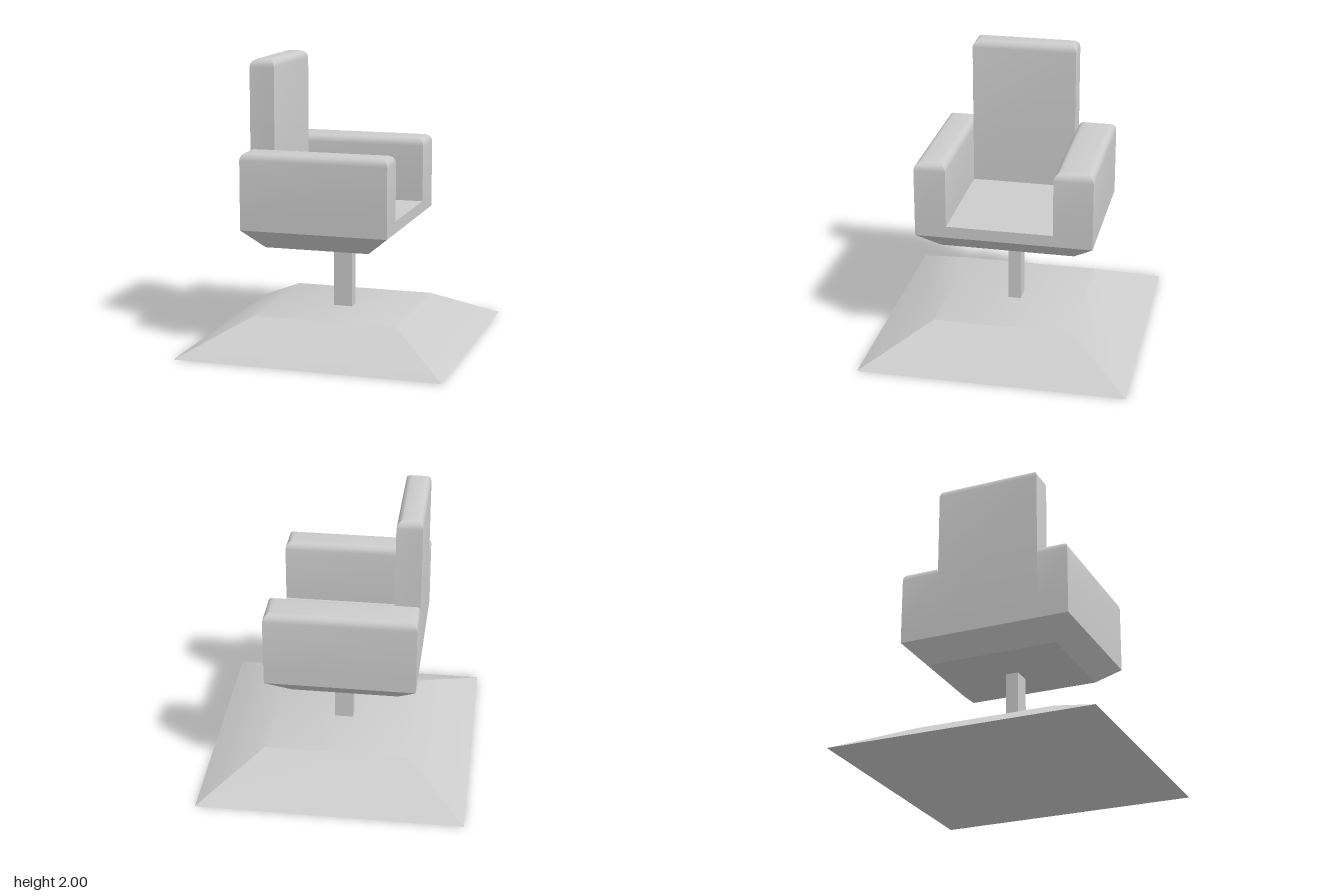
import * as THREE from 'three';
import { toCreasedNormals } from 'three/addons/utils/BufferGeometryUtils.js';

const material = new THREE.MeshStandardMaterial({ color: 0xcccccc });

// Closed solid lofted through horizontal rectangles [y, x0, x1, z0, z1], bottom to top
function loft(name, rects, capBottom = true) {
  const pos = [];
  const idx = [];
  for (const [y, x0, x1, z0, z1] of rects) {
    pos.push(x0, y, z1, x1, y, z1, x1, y, z0, x0, y, z0);
  }
  for (let r = 0; r < rects.length - 1; r++) {
    for (let i = 0; i < 4; i++) {
      const j = (i + 1) % 4;
      const a = r * 4 + i, b = r * 4 + j;
      idx.push(a, b, b + 4, a, b + 4, a + 4);
    }
  }
  const t = (rects.length - 1) * 4;
  idx.push(t, t + 1, t + 2, t, t + 2, t + 3);
  if (capBottom) idx.push(0, 2, 1, 0, 3, 2);

  const geo = new THREE.BufferGeometry();
  geo.setAttribute('position', new THREE.Float32BufferAttribute(pos, 3));
  geo.setIndex(idx);
  const mesh = new THREE.Mesh(toCreasedNormals(geo, 0.5), material);
  mesh.name = name;
  return mesh;
}

// Upright cushion whose top edges are rounded, with mitred corners
function cushion(name, y0, y1, x0, x1, z0, z1) {
  const radius = 0.055, steps = 4;
  const rects = [[y0, x0, x1, z0, z1]];
  for (let i = 0; i <= steps; i++) {
    const a = (i / steps) * Math.PI / 2;
    const d = radius * (1 - Math.cos(a));
    rects.push([y1 - radius + radius * Math.sin(a), x0 + d, x1 - d, z0 + d, z1 - d]);
  }
  return loft(name, rects, false);
}

export function createModel() {
  const group = new THREE.Group();
  group.name = 'armchair';

  const back = -0.557, front = 0.477, side = 0.617;
  const armInnerNear = 0.398, armInnerFar = -0.345;
  const seatY = 0.935;

  // Floor plinth and post
  group.add(loft('base', [
    [0, -0.932, 0.932, -0.932, 0.932],
    [0.225, -0.51, 0.51, -0.49, 0.49],
  ]));
  group.add(loft('post', [
    [0.225, -0.068, 0.066, -0.042, 0.048],
    [0.715, -0.068, 0.066, -0.042, 0.048],
  ]));

  // Seat with tapered underside
  group.add(loft('seat', [
    [0.715, -0.425, 0.31, -0.465, 0.475],
    [0.853, back, front, -side, side],
    [seatY, back, front, -side, side],
  ]));

  // Armrests and backrest
  group.add(cushion('nearArmrest', seatY, 1.39, back, front, armInnerNear, side));
  group.add(cushion('farArmrest', seatY, 1.39, back, front, -side, armInnerFar));
  group.add(cushion('backrest', seatY, 2, back, -0.382, armInnerFar, armInnerNear));

  return group;
}
